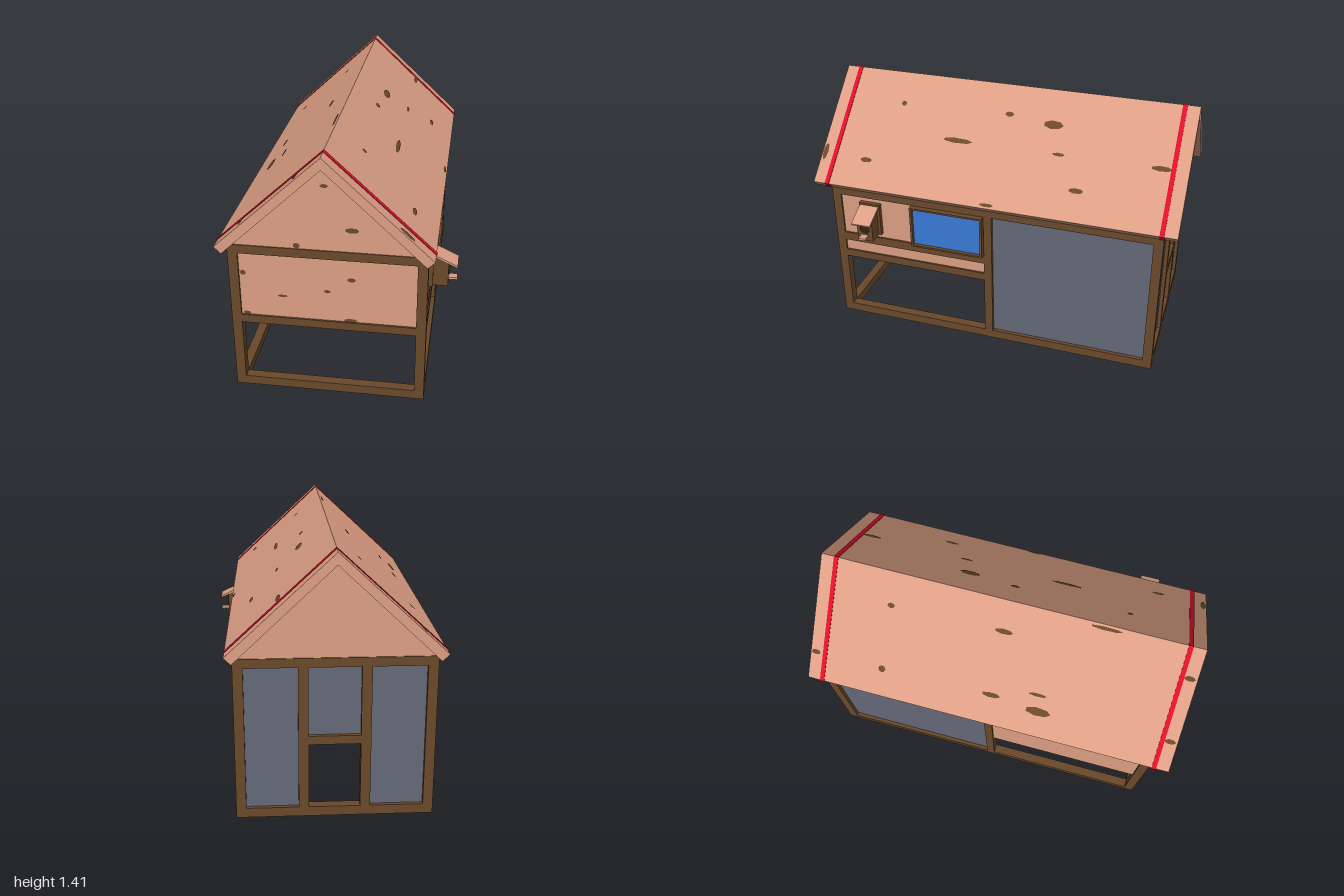
import * as THREE from 'three';

const mat = (name, color) => {
  const m = new THREE.MeshStandardMaterial({ color });
  m.name = name;
  return m;
};

export function createModel() {
  const wood = mat('salmon wood', 0xdd9f84);
  const frame = mat('brown timber', 0x6b492b);
  const mesh = mat('slate mesh', 0x656978);
  const blue = mat('window blue', 0x387bd8);
  const red = mat('red trim', 0xe00f2c);
  const dark = mat('dark hole', 0x3a2616);

  const model = new THREE.Group();
  model.name = 'chickenCoop';
  const CX = -0.055;

  const add = (name, geo, material) => {
    const m = new THREE.Mesh(geo, material);
    m.name = name;
    model.add(m);
    return m;
  };
  // Box given by its limits on each axis
  const box = (name, material, x0, x1, y0, y1, z0, z1) => {
    const g = new THREE.BoxGeometry(x1 - x0, y1 - y0, z1 - z0);
    g.translate((x0 + x1) / 2, (y0 + y1) / 2, (z0 + z1) / 2);
    return add(name, g, material);
  };
  const extrude = (points, depth) => new THREE.ExtrudeGeometry(
    new THREE.Shape(points.map(([x, y]) => new THREE.Vector2(x, y))), { depth, bevelEnabled: false });

  // Outer limits of the timber frame
  const L = -0.545, R = 0.435, B = -0.93, F = 0.91, T = 0.05;

  // Corner and middle posts, long rails on both sides
  for (const x of [L, R - T]) {
    for (const z of [B, -0.02, F - T]) box('post', frame, x, x + T, 0.05, 0.887, z, z + (z === -0.02 ? 0.045 : T));
    box('bottomSideRail', frame, x, x + T, 0.05, 0.1, B + T, F - T);
    box('topSideRail', frame, x, x + T, 0.845, 0.887, B + T, F - T);
    box('runSideMesh', mesh, x + 0.02, x + 0.03, 0.1, 0.845, B + T, -0.02);
  }
  // Rails on the ends
  for (const z of [B, F - T]) {
    box('bottomEndRail', frame, L + T, R - T, 0.05, 0.1, z, z + T);
    box('topEndRail', frame, L + T, R - T, 0.84, 0.887, z, z + T);
  }

  // Front wall
  box('frontMiddleRail', frame, L + T, R - T, 0.44, 0.485, F - T, F);
  box('frontPanel', wood, L + T, R - T, 0.485, 0.84, F - 0.035, F - 0.01);

  // Back wall with its doorway
  for (const x of [-0.23, 0.075]) box('backPost', frame, x, x + T, 0.1, 0.84, B, B + T);
  box('doorLintel', frame, -0.18, 0.075, 0.44, 0.485, B, B + T);
  for (const [x0, x1, y0] of [[L + T, -0.23, 0.1], [-0.18, 0.075, 0.485], [0.125, R - T, 0.1]]) {
    box('backMesh', mesh, x0, x1, y0, 0.84, B + 0.02, B + 0.03);
  }

  // Right (-x) coop wall, floor and inner partition
  box('closedSidePanel', wood, L + 0.01, L + 0.035, 0.44, 0.845, 0.025, F - T);
  box('coopFloor', wood, L + 0.035, R - T, 0.442, 0.465, -0.015, F - T);
  box('partition', wood, -0.23, R - T, 0.465, 0.88, -0.01, 0.01);

  // Left (+x) coop wall
  box('lowerSideRail', frame, R - T, R, 0.44, 0.485, 0.025, F - T);
  box('upperSideRail', frame, R - T, R, 0.55, 0.6, 0.025, F - T);
  box('lowerSidePanel', wood, R - 0.035, R - 0.01, 0.485, 0.55, 0.025, F - T);
  box('upperSidePanel', wood, R - 0.035, R - 0.01, 0.6, 0.845, 0.025, F - T);

  // Window
  for (const y of [0.598, 0.832]) box('windowRail', frame, R - 0.02, 0.46, y, y + 0.01, 0.028, 0.442);
  for (const z of [0.028, 0.43]) box('windowStile', frame, R - 0.02, 0.46, 0.608, 0.832, z, z + 0.012);
  box('windowPane', blue, R - 0.01, R + 0.005, 0.608, 0.832, 0.04, 0.43);

  // Small nest box with sloped lid, round hole and perch
  const nz = 0.685;
  box('nestBackboard', frame, R - 0.01, R + 0.015, 0.63, 0.82, nz - 0.06, nz + 0.06);
  const nest = extrude([[R, 0.63], [0.525, 0.63], [0.525, 0.767], [R, 0.805]], 0.09);
  add('nestBox', nest.translate(0, 0, nz - 0.045), frame);
  const lid = extrude([[R + 0.005, 0.802], [0.566, 0.743], [0.57, 0.753], [R + 0.005, 0.814]], 0.11);
  add('nestLid', lid.translate(0, 0, nz - 0.055), wood);
  const rim = add('nestHoleRim', new THREE.TorusGeometry(0.026, 0.004, 6, 16), frame);
  const hole = add('nestHole', new THREE.CircleGeometry(0.025, 16), dark);
  for (const m of [rim, hole]) {
    m.rotation.y = Math.PI / 2;
    m.position.set(0.527, 0.705, nz);
  }
  box('perch', wood, 0.52, 0.57, 0.655, 0.667, nz - 0.02, nz + 0.02);

  // Ramp from the coop floor to the ground in the run
  const ramp = extrude([[0, 0.43], [0, 0.46], [-0.68, 0.03], [-0.68, 0]], 0.26);
  add('ramp', ramp.rotateY(-Math.PI / 2).translate(-0.23, 0, 0), wood);

  // Gables
  for (const z of [B + 0.005, F - 0.03]) {
    const g = extrude([[-0.488, 0.887], [0.488, 0.887], [0, 1.352]], 0.025);
    add('gable', g.translate(CX, 0, z), wood);
  }

  // Roof and its two trim bands: a half profile mirrored about the ridge
  const chevron = (apex, eave, depth, z) => {
    const side = [apex[0], ...eave, apex[1]];
    const mirror = eave.map(([x, y]) => [-x, y]).reverse();
    return extrude([...side, ...mirror], depth).translate(CX, 0, z);
  };
  add('roof', chevron([[0, 1.41], [0, 1.35]], [[0.525, 0.92], [0.49, 0.885]], 2, -1), wood);
  for (const z of [-0.92, 0.92]) {
    add('roofBand', chevron([[0, 1.414], [0, 1.38]],
      [[0.529, 0.921], [0.493, 0.884], [0.489, 0.888]], 0.024, z - 0.012), red);
  }

  // Thin weathered patches on the boards
  const patchGeo = new THREE.CircleGeometry(0.5, 7);
  const patch = (pos, normal, w, h) => {
    const m = add('woodPatch', patchGeo, frame);
    m.position.copy(pos).addScaledVector(normal, 0.003);
    m.lookAt(m.position.clone().add(normal));
    m.scale.set(w, h, 1);
  };
  const roofPatch = (s, y, z, w, h) => patch(
    new THREE.Vector3(CX + s * (1.41 - y) * 0.525 / 0.49, y, z),
    new THREE.Vector3(s * 0.49, 0.525, 0).normalize(), w, h);

  for (const [z, y, w, h] of [[-0.26, 1.27, 0.11, 0.05], [0.24, 1.16, 0.17, 0.03], [0.6, 1.28, 0.03, 0.03],
    [0.73, 1.035, 0.07, 0.03], [-0.86, 1.16, 0.11, 0.03], [-0.45, 1.035, 0.08, 0.03], [0.98, 1.045, 0.03, 0.1],
    [-0.01, 1.29, 0.05, 0.03], [-0.32, 1.16, 0.07, 0.02], [0, 0.933, 0.08, 0.02]]) roofPatch(1, y, z, w, h);
  for (const [x, z, w, h] of [[-0.46, -0.6, 0.04, 0.04], [-0.19, -0.6, 0.04, 0.03], [-0.45, 0, 0.1, 0.03],
    [-0.18, 0, 0.1, 0.03], [-0.47, 0.26, 0.14, 0.05], [-0.4, 0.24, 0.1, 0.02], [-0.07, 0.5, 0.17, 0.02],
    [-0.45, 0.96, 0.06, 0.03], [-0.18, 0.96, 0.06, 0.03], [-0.46, -0.97, 0.05, 0.03]]) {
    roofPatch(-1, 1.41 + (x - CX) * 0.49 / 0.525, z, w, h);
  }

  const front = new THREE.Vector3(0, 0, 1);
  for (const [x, y, w, h] of [[-0.06, 1.23, 0.04, 0.02], [0.07, 1.005, 0.07, 0.03], [-0.2, 0.905, 0.035, 0.03],
    [-0.475, 0.73, 0.03, 0.03], [-0.055, 0.655, 0.035, 0.02], [0.065, 0.73, 0.045, 0.025],
    [-0.28, 0.61, 0.05, 0.015], [-0.465, 0.495, 0.04, 0.02], [0.06, 0.495, 0.07, 0.02]]) {
    patch(new THREE.Vector3(x, y, y > 0.88 ? F - 0.005 : F - 0.01), front, w, h);
  }
  // Patches under the floor
  for (const [x, z] of [[-0.3, 0.2], [-0.1, 0.6], [0.2, 0.35]]) {
    const m = add('floorPatch', patchGeo, frame);
    m.position.set(x, 0.439, z);
    m.rotation.x = Math.PI / 2;
    m.scale.set(0.04, 0.08, 1);
  }
  return model;
}
